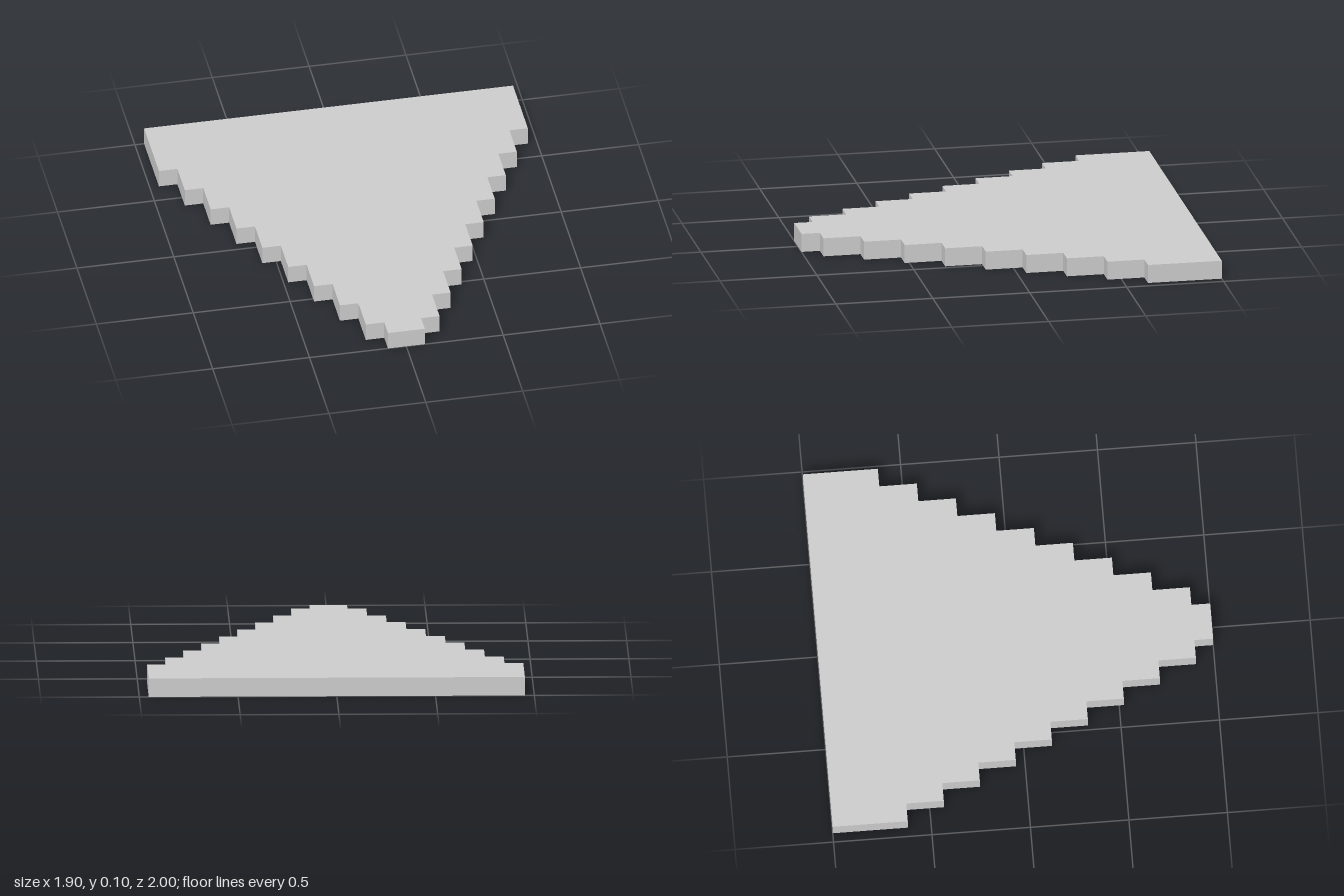
import * as THREE from 'three';

const UNIT = 2 / 21; // grid cell: the plate is 21 cells deep, 20 wide, 1 thick
const ROWS = 10;     // stepped rows from narrow front tip to wide back

export function createModel() {
  const group = new THREE.Group();
  group.name = 'steppedPlate';

  // Right-hand staircase outline, front tip to back (shape y is -z)
  const right = [];
  let y = -1;
  for (let row = 1; row <= ROWS; row++) {
    const depth = row === 1 ? 1 : row === ROWS ? 4 : 2;
    right.push(new THREE.Vector2(row * UNIT, y));
    y += depth * UNIT;
    right.push(new THREE.Vector2(row * UNIT, y));
  }

  // Mirror it to close the outline
  const left = right.map((p) => new THREE.Vector2(-p.x, p.y)).reverse();
  const outline = new THREE.Shape([...right, ...left]);

  // Thin slab lying flat on the ground
  const geometry = new THREE.ExtrudeGeometry(outline, { depth: UNIT, bevelEnabled: false });
  geometry.rotateX(-Math.PI / 2);

  const plate = new THREE.Mesh(
    geometry,
    new THREE.MeshStandardMaterial({ color: 0xcccccc, flatShading: true })
  );
  plate.name = 'plate';
  group.add(plate);
  return group;
}
